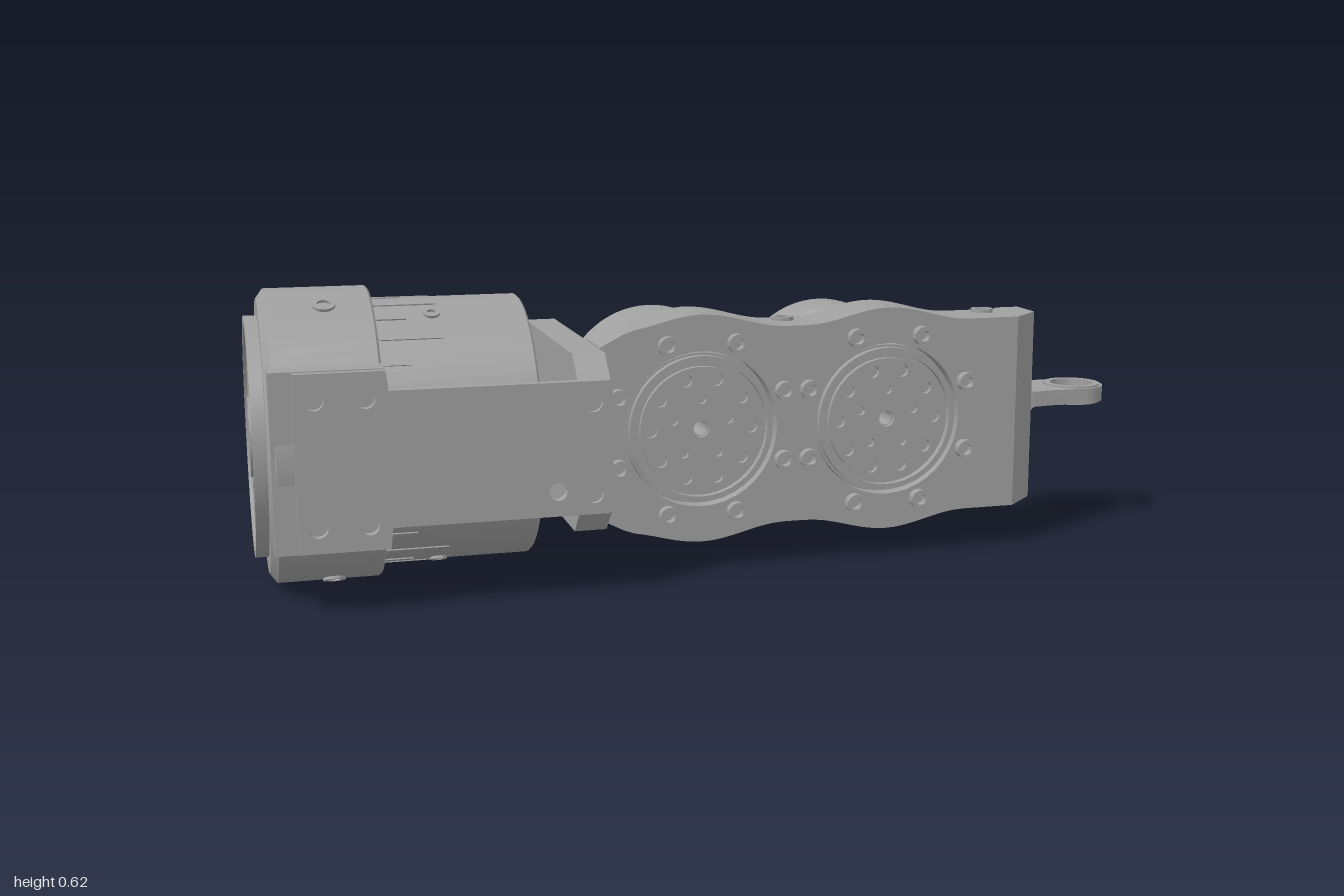
import * as THREE from 'three';
import { toCreasedNormals } from 'three/addons/utils/BufferGeometryUtils.js';

const CY = 0.313; // height of every motor axis
const metal = new THREE.MeshStandardMaterial({ color: 0xa0a0a0 });
metal.name = 'grey metal';

const circle = (x, y, r) => new THREE.Path().absarc(x, y, r, 0, Math.PI * 2, true);
const polygon = (pts) => new THREE.Shape(pts.map(([x, y]) => new THREE.Vector2(x, y)));
const rectangle = (x0, y0, x1, y1) => polygon([[x0, y0], [x1, y0], [x1, y1], [x0, y1]]);
const ringOf = (n, r, start = 0) => Array.from({ length: n }, (_, i) => {
  const a = start + (i * Math.PI * 2) / n;
  return [r * Math.cos(a), r * Math.sin(a)];
});

function add(parent, name, geometry) {
  const mesh = new THREE.Mesh(geometry, metal);
  mesh.name = name;
  parent.add(mesh);
  return mesh;
}

// Flat part with holes [x, y, r], extruded along z from z0 to z1
function plate(shape, holes, z0, z1) {
  holes.forEach(([x, y, r]) => shape.holes.push(circle(x, y, r)));
  const g = new THREE.ExtrudeGeometry(shape, { depth: z1 - z0, bevelEnabled: false, curveSegments: 20 });
  return toCreasedNormals(g.translate(0, 0, z0), 0.5);
}

function disc(r, holes, z0, z1) {
  return plate(new THREE.Shape().absarc(0, 0, r, 0, Math.PI * 2), holes, z0, z1);
}

function lathe(pts, segments = 64) {
  const g = new THREE.LatheGeometry(pts.map(([r, y]) => new THREE.Vector2(r, y)), segments);
  return toCreasedNormals(g, 0.4);
}

function box(parent, name, x0, x1, y0, y1, z0, z1) {
  const m = add(parent, name, new THREE.BoxGeometry(x1 - x0, y1 - y0, z1 - z0));
  m.position.set((x0 + x1) / 2, (y0 + y1) / 2, (z0 + z1) / 2);
  return m;
}

// Large motor lying along x
function baseMotor() {
  const g = new THREE.Group();
  g.name = 'baseMotor';
  add(g, 'motorBody', lathe([[0, -0.8], [0.283, -0.8], [0.283, -0.425], [0.278, -0.42], [0, -0.42]]).rotateZ(-Math.PI / 2));
  add(g, 'motorHousing', lathe([[0, -0.97], [0.29, -0.97], [0.311, -0.955], [0.311, -0.745], [0.306, -0.74], [0.27, -0.74]]).rotateZ(-Math.PI / 2));

  // Output flange, facing -x
  const holes = [...ringOf(14, 0.185).map(([x, y]) => [x, y, 0.017]), [0, 0, 0.02]];
  add(g, 'outputFlange', disc(0.235, holes, 0.965, 0.99).rotateY(-Math.PI / 2));
  add(g, 'flangeRim', disc(0.255, [[0, 0, 0.24]], 0.965, 0.997).rotateY(-Math.PI / 2));
  add(g, 'flangeHub', disc(0.085, [...ringOf(6, 0.06).map(([x, y]) => [x, y, 0.01]), [0, 0, 0.02]], 0.985, 0.997).rotateY(-Math.PI / 2));

  // Screws around the housing and slats along the body
  for (let i = 0; i < 8; i++) {
    const a = Math.PI / 8 + (i * Math.PI) / 4;
    const holder = new THREE.Group();
    holder.name = 'radialDetail';
    holder.rotation.x = a;
    add(holder, 'housingScrew', disc(0.024, [[0, 0, 0.014]], 0.305, 0.316)).position.x = -0.84;
    add(holder, 'bodyScrew', disc(0.018, [[0, 0, 0.009]], 0.278, 0.288)).position.x = -0.62;
    g.add(holder);
  }
  for (let i = 0; i < 28; i++) {
    const holder = new THREE.Group();
    holder.name = 'slatHolder';
    holder.rotation.x = (i * Math.PI) / 14;
    const len = i % 2 ? 0.06 : 0.13;
    box(holder, 'bodySlat', -0.735, -0.735 + len, -0.004, 0.004, 0.279, 0.2855);
    g.add(holder);
  }
  g.position.y = CY;
  box(g, 'cableSocket', -0.43, -0.4, -0.06, 0.06, 0.13, 0.25);
  return g;
}

// Bracket holding the large motor
function yoke() {
  const g = new THREE.Group();
  g.name = 'yoke';
  const holes = [[-0.88, 0.44], [-0.78, 0.44], [-0.88, 0.185], [-0.78, 0.185], [-0.325, 0.41], [-0.325, 0.22], [-0.4, 0.23]]
    .map(([x, y]) => [x, y, 0.019]);
  const outline = () => polygon([[-0.92, 0.135], [-0.74, 0.135], [-0.735, 0.178], [-0.295, 0.178], [-0.285, 0.188],
    [-0.285, 0.445], [-0.295, 0.455], [-0.735, 0.455], [-0.74, 0.495], [-0.92, 0.495]]);
  add(g, 'frontArm', plate(outline(), holes, 0.306, 0.328));
  add(g, 'backArm', plate(outline(), holes, -0.328, -0.306));
  for (const s of [-1, 1]) {
    const z = [0.2 * s, 0.308 * s].sort((a, b) => a - b);
    box(g, 'housingPad', -0.965, -0.74, 0.13, 0.497, z[0], z[1]);
  }
  // Chamfered cross plate between the arms
  const c = polygon([[-0.315, 0.178], [-0.265, 0.128], [0.265, 0.128], [0.315, 0.178],
    [0.315, 0.453], [0.265, 0.502], [-0.265, 0.502], [-0.315, 0.453]]);
  add(g, 'crossPlate', plate(c, [[0, CY, 0.06]], -0.355, -0.287).rotateY(Math.PI / 2));
  return g;
}

// Small motor with its axis along z
function jointMotor(x) {
  const g = new THREE.Group();
  g.name = 'jointMotor';
  add(g, 'motorShell', lathe([[0.016, -0.3], [0.17, -0.3], [0.19, -0.282], [0.207, -0.28], [0.212, -0.275], [0.212, -0.145],
    [0.198, -0.13], [0.198, 0.13], [0.165, 0.135], [0.165, 0.172], [0.016, 0.172], [0.016, -0.3]]).rotateX(Math.PI / 2));
  // Output face
  add(g, 'outputRing', disc(0.16, [[0, 0, 0.148]], 0.165, 0.188));
  const holes = [...ringOf(10, 0.112).map(([a, b]) => [a, b, 0.014]), ...ringOf(5, 0.065, 0.3).map(([a, b]) => [a, b, 0.01]), [0, 0, 0.018]];
  add(g, 'outputFace', disc(0.136, holes, 0.165, 0.184));
  // Rear cover with sockets and rim notches
  const cover = new THREE.Shape().absarc(0, 0, 0.168, 0, Math.PI * 2);
  const socket = new THREE.Path([[-0.12, 0], [-0.12, 0.09], [-0.07, 0.09], [-0.07, 0]].map(([a, b]) => new THREE.Vector2(a, b)));
  cover.holes.push(socket);
  add(g, 'rearCover', plate(cover, [[0, 0, 0.02], [0.06, 0.07, 0.014], [0.05, -0.09, 0.02], [0.1, -0.04, 0.014], [-0.05, -0.1, 0.012]], -0.312, -0.299));
  for (const [a, b] of ringOf(8, 0.184, Math.PI / 8)) {
    const m = add(g, 'rimLug', new THREE.CylinderGeometry(0.014, 0.014, 0.025, 12).rotateX(Math.PI / 2));
    m.position.set(a, b, -0.289);
  }
  // Raised oval panels on the shell
  for (let i = 0; i < 4; i++) {
    const oval = add(g, 'shellPanel', new THREE.CapsuleGeometry(0.014, 0.11, 4, 12).scale(1, 1, 0.4).rotateX(Math.PI / 2));
    const a = Math.PI / 2 + (i * Math.PI) / 2;
    oval.position.set(0.198 * Math.cos(a), 0.198 * Math.sin(a), -0.04);
    oval.rotation.z = a + Math.PI / 2;
  }
  // Mounting screws
  for (const [a, b] of ringOf(8, 0.2, Math.PI / 8)) {
    add(g, 'mountingScrew', disc(0.021, [[0, 0, 0.012]], 0.185, 0.207)).position.set(a, b, 0);
  }
  g.position.set(x, CY, 0);
  return g;
}

// Wavy tray carrying the two small motors
function tray(centres) {
  const g = new THREE.Group();
  g.name = 'tray';
  const half = (x) => {
    let h = 0.217 - Math.max(0, -0.22 - x) * 0.5;
    for (const c of centres) if (Math.abs(x - c) < 0.19) h += 0.032 * Math.cos(((x - c) * Math.PI) / 0.38) ** 2;
    return h;
  };
  const outline = (x0, x1, inset) => {
    const top = [], n = 40;
    for (let i = 0; i <= n; i++) {
      const x = x0 + ((x1 - x0) * i) / n;
      top.push([x, half(x) - inset]);
    }
    return [...top.map(([x, h]) => [x, CY - h]), ...top.reverse().map(([x, h]) => [x, CY + h])];
  };
  add(g, 'trayFace', plate(polygon(outline(-0.28, 0.68, 0)), centres.map((c) => [c, CY, 0.17]), 0.15, 0.187));
  const wall = polygon(outline(-0.28, 0.66, 0));
  wall.holes.push(polygon(outline(-0.25, 0.655, 0.028)));
  add(g, 'trayWall', plate(wall, [], 0.05, 0.15));
  box(g, 'trayBackBlock', -0.305, -0.237, 0.14, 0.486, 0, 0.187);

  // Slanted end wall and its two side cheeks
  const end = polygon([[0.64, 0.187], [0.68, 0.187], [0.753, 0.118], [0.753, 0.03], [0.705, 0.03], [0.705, 0.1], [0.65, 0.15]]);
  add(g, 'endWall', plate(end, [], 0, 0.434).rotateX(Math.PI / 2)).position.y = 0.53;
  for (const y of [0.53, 0.124]) {
    const cheek = polygon([[0.64, 0.187], [0.68, 0.187], [0.753, 0.118], [0.753, 0.03], [0.7, 0.03], [0.68, 0.05], [0.64, 0.05]]);
    add(g, 'endCheek', plate(cheek, [], 0, 0.028).rotateX(Math.PI / 2)).position.y = y;
  }
  const taper = polygon([[-0.03, 0.096], [0.065, 0.195], [0.075, 0.215], [0.075, 0.411], [0.065, 0.431], [-0.03, 0.53]]);
  add(g, 'endTaper', plate(taper, [], 0.705, 0.753).rotateY(Math.PI / 2));

  // Bosses on the top and bottom edges
  for (const x of [0.155, 0.635]) for (const s of [-1, 1]) {
    const boss = add(g, 'edgeBoss', disc(0.025, [[0, 0, 0.016]], -0.006, 0.006).rotateX(Math.PI / 2));
    boss.position.set(x, CY + s * (half(x) + 0.002), 0.09);
  }
  return g;
}

// Eyelet on the free end
function eyelet() {
  const g = new THREE.Group();
  g.name = 'eyelet';
  const s = new THREE.Shape();
  s.moveTo(0.705, -0.08);
  s.lineTo(0.915, -0.08);
  s.absarc(0.92, -0.008, 0.073, -Math.PI / 2, Math.PI / 2, false);
  s.lineTo(0.83, 0.062);
  s.lineTo(0.75, 0.075);
  s.lineTo(0.705, 0.075);
  add(g, 'eyeletTab', plate(s, [[0.92, -0.008, 0.05], [0.81, -0.05, 0.018]], 0, 0.036).rotateX(Math.PI / 2)).position.y = 0.333;
  const rim = add(g, 'eyeletRim', disc(0.066, [[0, 0, 0.05]], -0.022, 0.022).rotateX(Math.PI / 2));
  rim.position.set(0.92, 0.315, -0.008);
  const root = polygon([[0.75, 0.272], [0.755, 0.272], [0.785, 0.3], [0.785, 0.33], [0.755, 0.355], [0.75, 0.355]]);
  add(g, 'eyeletRoot', plate(root, [], -0.074, 0.074));
  return g;
}

export function createModel() {
  const model = new THREE.Group();
  model.name = 'roboticArm';
  const centres = [-0.057, 0.37];
  model.add(baseMotor(), yoke(), tray(centres), eyelet(), ...centres.map(jointMotor));
  return model;
}
